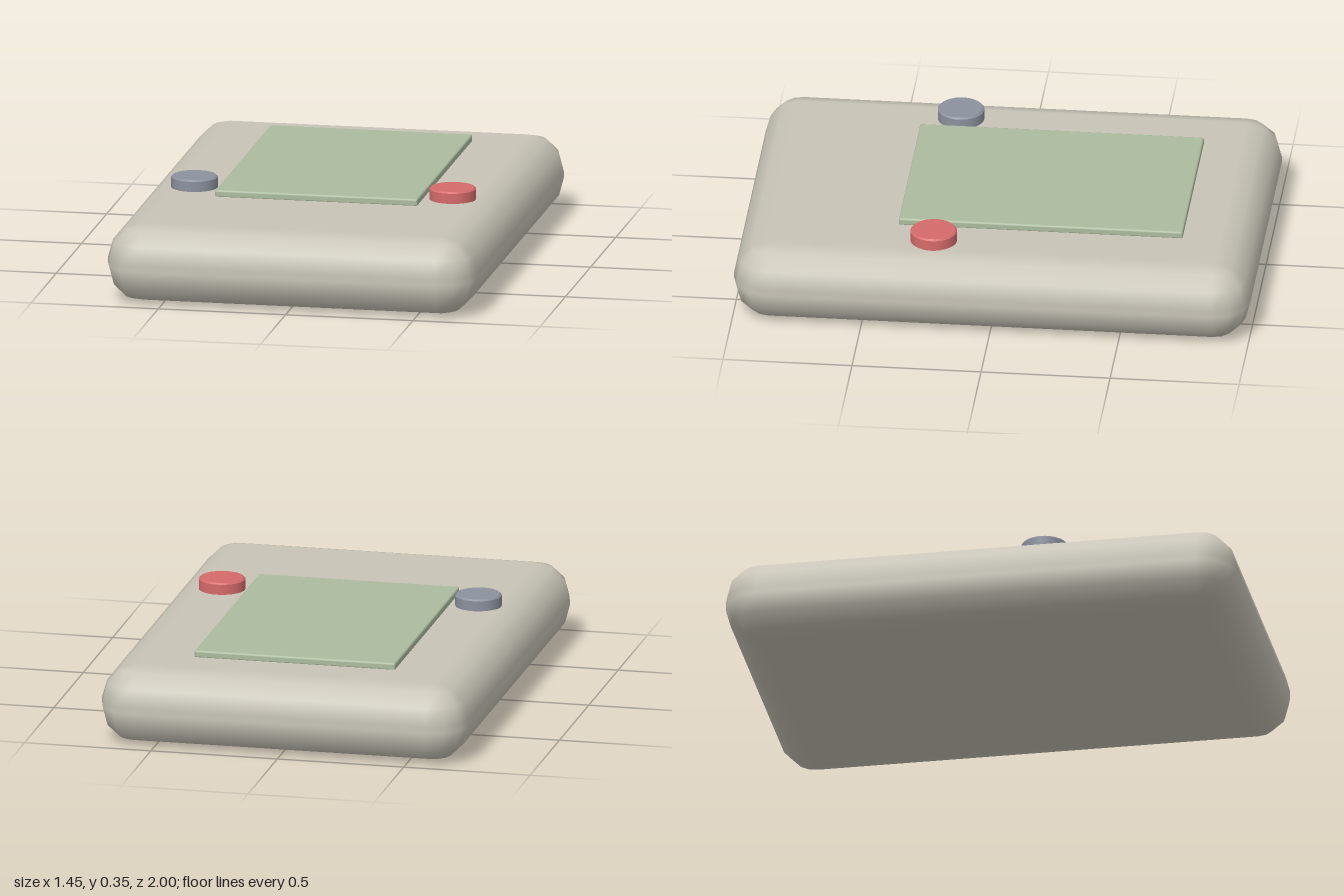
import * as THREE from 'three';
import { RoundedBoxGeometry } from 'three/addons/geometries/RoundedBoxGeometry.js';
import { mergeGeometries } from 'three/addons/utils/BufferGeometryUtils.js';

const material = (name, color) => {
  const m = new THREE.MeshStandardMaterial({ color });
  m.name = name;
  return m;
};

// Pillow box: a grid wrapped round four corners, three 30 degree steps per rounded edge
function pillowBox(hx, hy, hz, r) {
  const wrap = new THREE.PlaneGeometry(1, 1, 16, 7);
  const { position, normal } = wrap.attributes;
  const step = Math.PI / 6;
  const n = new THREE.Vector3();
  for (let i = 0; i < position.count; i++) {
    const row = Math.floor(i / 17);
    const col = (i % 17) % 16;
    const quarter = Math.floor(col / 4);
    const phi = quarter * Math.PI / 2 + (col % 4) * step;
    const lat = (row < 4 ? 3 - row : 4 - row) * step;
    n.set(Math.sin(phi) * Math.cos(lat), Math.sin(lat), Math.cos(phi) * Math.cos(lat));
    const sx = quarter < 2 ? 1 : -1;
    const sz = quarter === 0 || quarter === 3 ? 1 : -1;
    const sy = row < 4 ? 1 : -1;
    position.setXYZ(i, sx * (hx - r) + n.x * r, sy * (hy - r) + n.y * r, sz * (hz - r) + n.z * r);
    normal.setXYZ(i, n.x, n.y, n.z);
  }
  // Flat top and bottom
  const caps = [1, -1].map((s) =>
    new THREE.PlaneGeometry(2 * (hx - r), 2 * (hz - r)).rotateX(-s * Math.PI / 2).translate(0, s * hy, 0));
  return mergeGeometries([wrap, ...caps]);
}

// Round button with a slightly softened rim
function buttonGeometry(r, h) {
  const b = 0.006;
  const wall = [[r, 0], [r, h - b]];
  const rim = [[r, h - b], [r - b, h]];
  const face = [[r - b, h], [0, h]];
  return mergeGeometries([wall, rim, face].map((p) =>
    new THREE.LatheGeometry(p.map(([x, y]) => new THREE.Vector2(x, y)), 32)));
}

export function createModel() {
  const group = new THREE.Group();
  const add = (name, geometry, mat, x, y, z) => {
    const mesh = new THREE.Mesh(geometry, mat);
    mesh.name = name;
    mesh.position.set(x, y, z);
    group.add(mesh);
  };

  const height = 0.304;
  add('body', pillowBox(0.725, height / 2, 1, 0.14), material('warm grey', 0xc8c4b7), 0, height / 2, 0);

  // Raised screen panel
  add('screen', new RoundedBoxGeometry(0.795, 0.03, 1.1, 2, 0.008),
    material('pale green', 0xacbc9f), -0.003, 0.315, -0.168);

  // Buttons either side of the screen
  const button = buttonGeometry(0.09, 0.047);
  add('rightButton', button, material('slate', 0x8b919e), -0.509, 0.303, 0.235);
  add('leftButton', button, material('red', 0xd66a6a), 0.505, 0.303, 0.235);
  return group;
}
